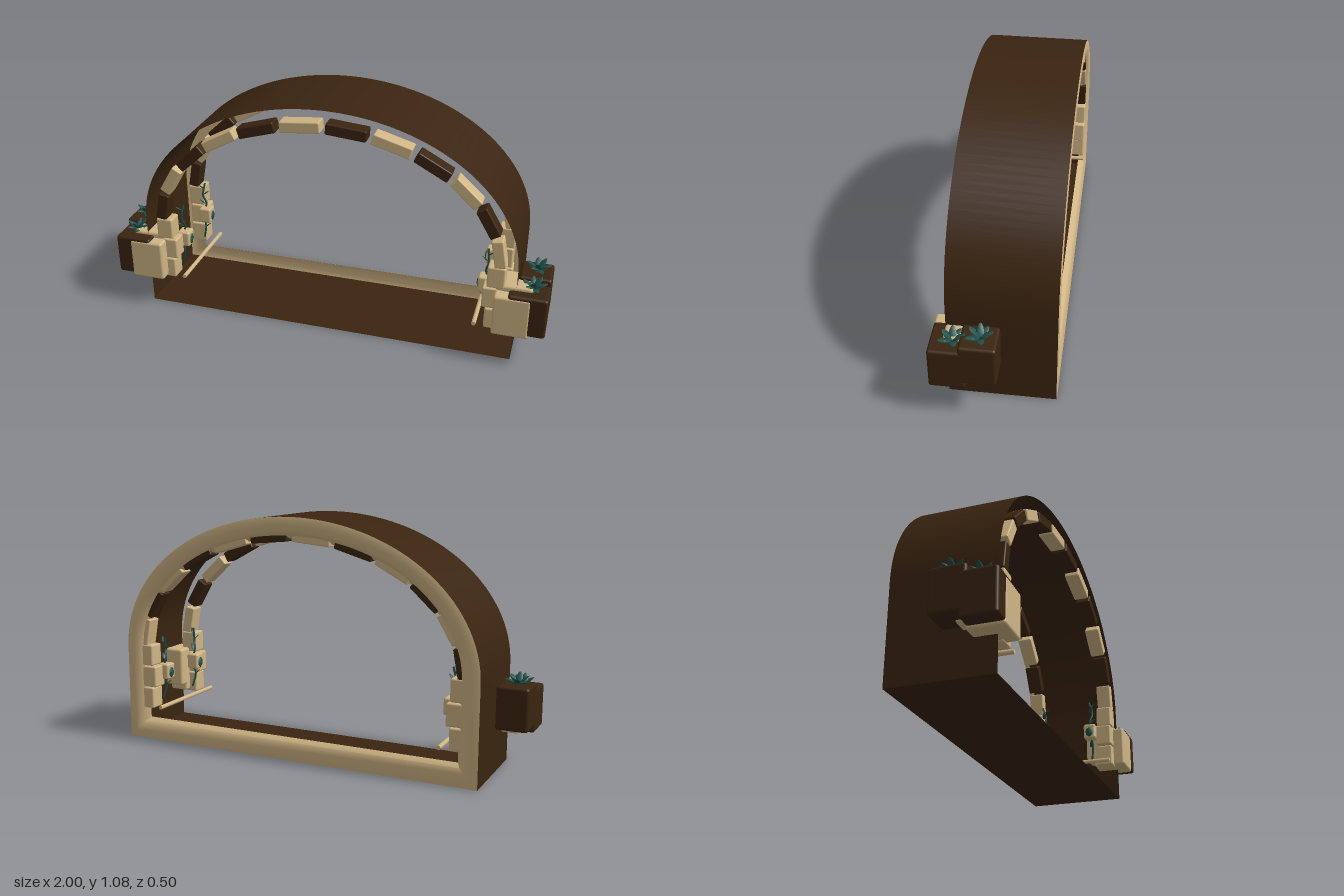
import * as THREE from 'three';
import { toCreasedNormals } from 'three/addons/utils/BufferGeometryUtils.js';
import { RoundedBoxGeometry } from 'three/addons/geometries/RoundedBoxGeometry.js';

const mat = (name, color, side = THREE.FrontSide) => {
  const m = new THREE.MeshStandardMaterial({ color, side });
  m.name = name;
  return m;
};

// Closed doorway outline, moved inward by d
function outline(d) {
  const pts = [[-0.86 + d, d], [0.86 - d, d]];
  for (let i = 0; i <= 64; i++) {
    const t = (i / 64) * Math.PI;
    pts.push([(0.86 - d) * Math.cos(t), 0.44 + (0.635 - d) * Math.sin(t)]);
  }
  pts.push(pts[0]);
  return pts;
}

// Sweep a profile of [inset, z] pairs around the outline
function sweep(profile) {
  const rows = profile.map(([d, z]) => outline(d).map(([x, y]) => [x, y, z]));
  const n = rows[0].length, index = [];
  for (let r = 0; r < rows.length - 1; r++) {
    for (let i = 0; i < n - 1; i++) {
      const a = r * n + i, b = a + n;
      index.push(a, b, a + 1, b, b + 1, a + 1);
    }
  }
  const g = new THREE.BufferGeometry();
  g.setAttribute('position', new THREE.Float32BufferAttribute(rows.flat(2), 3));
  g.setIndex(index);
  return toCreasedNormals(g, 1.0);
}

// Pointed, flattened leaf starting at the origin and growing along +y
function leafGeometry() {
  const g = new THREE.SphereGeometry(0.5, 6, 6);
  g.translate(0, 0.5, 0);
  const p = g.attributes.position;
  for (let i = 0; i < p.count; i++) {
    const y = p.getY(i);
    p.setX(i, p.getX(i) * (1.15 - 0.5 * y));
    p.setZ(i, p.getZ(i) * 0.25 + 0.25 * y * y);
  }
  g.computeVertexNormals();
  return g;
}

export function createModel() {
  const model = new THREE.Group();
  const dark = mat('darkBrown', 0x3a2410);
  const darkOpen = mat('darkBrownShell', 0x3a2410, THREE.DoubleSide);
  const tan = mat('sandStone', 0xd0b585);
  const tanOpen = mat('sandRim', 0xd0b585, THREE.DoubleSide);
  const teal = mat('tealLeaf', 0x1f504a, THREE.DoubleSide);

  const add = (parent, name, geo, material, pos = [0, 0, 0]) => {
    const m = new THREE.Mesh(geo, material);
    m.name = name;
    m.position.set(...pos);
    parent.add(m);
    return m;
  };
  const block = (parent, name, material, pos, size, r = 0.012) =>
    add(parent, name, new RoundedBoxGeometry(...size, 2, r), material, pos);

  // Thin outer wall and the rounded rim closing its back
  add(model, 'archShell', sweep([[0, 0.2], [0, -0.246]]), darkOpen);
  add(model, 'backRim', sweep([[0, -0.246], [0.012, -0.249], [0.035, -0.25],
    [0.06, -0.246], [0.08, -0.235], [0.095, -0.21]]), tanOpen);

  // Front and rear arcs of alternating stones
  for (const z of [0.165, -0.2]) {
    const arc = new THREE.Group();
    arc.name = z > 0 ? 'frontStoneArc' : 'rearStoneArc';
    model.add(arc);
    for (let i = 0; i < 12; i++) {
      const t = THREE.MathUtils.degToRad(7.5 + 15 * i);
      const tx = -0.78 * Math.sin(t), ty = 0.55 * Math.cos(t);
      const stone = block(arc, 'archStone', i % 2 ? dark : tan,
        [0.78 * Math.cos(t), 0.44 + 0.55 * Math.sin(t), z],
        [Math.hypot(tx, ty) * 0.232, 0.05, 0.07], 0.006);
      stone.rotation.z = Math.atan2(ty, tx);
    }
  }

  const leaf = leafGeometry();
  const addLeaf = (parent, pos, yaw, tilt, len, width) => {
    const m = add(parent, 'leaf', leaf, teal, pos);
    m.rotation.set(tilt, yaw, 0, 'YXZ');
    m.scale.set(width, len, width);
  };

  for (const s of [1, -1]) {
    const side = new THREE.Group();
    side.name = s > 0 ? 'leftSide' : 'rightSide';
    model.add(side);

    // Cluster of large blocks on the outer wall
    block(side, 'outerFrontBlock', dark, [s * 0.915, 0.26, 0.177], [0.17, 0.19, 0.15]);
    block(side, 'outerRearBlock', dark, [s * 0.93, 0.29, 0.055], [0.14, 0.19, 0.15]);
    block(side, 'innerFrontBlock', tan, [s * 0.85, 0.248, 0.177], [0.16, 0.192, 0.156]);
    block(side, 'innerRearBlock', tan, [s * 0.85, 0.278, 0.13], [0.16, 0.185, 0.14]);

    // Spiky plants on top of the blocks
    for (const [x, y, z] of [[0.93, 0.355, 0.16], [0.935, 0.385, 0.05]]) {
      const plant = new THREE.Group();
      plant.name = 'plant';
      plant.position.set(s * x, y, z);
      side.add(plant);
      for (let i = 0; i < 9; i++) {
        addLeaf(plant, [0, 0, 0], i * 2.4, 0.55 + 0.08 * i, 0.062, 0.034);
      }
    }

    // Stone columns with climbing vines, front and rear
    for (const z of [0.165, -0.2]) {
      for (let i = 0; i < 3; i++) {
        block(side, 'columnStone', tan, [s * (i === 1 ? 0.76 : 0.77), 0.195 + 0.103 * i, z],
          [i === 1 ? 0.09 : 0.078, 0.1, 0.075], 0.008);
      }
      const vz = z > 0 ? 0.1 : -0.15;
      const curve = new THREE.CatmullRomCurve3([[0.735, 0.18], [0.72, 0.25], [0.735, 0.31],
        [0.715, 0.37], [0.725, 0.42], [0.718, 0.48]].map(([x, y], i) =>
        new THREE.Vector3(s * x, y, vz + 0.01 * Math.sin(i * 2))));
      add(side, 'vineStem', new THREE.TubeGeometry(curve, 20, 0.005, 5), teal);
      block(side, 'lanternStone', tan, [s * 0.715, 0.315, vz], [0.06, 0.075, 0.06], 0.01);
      const bud = add(side, 'vineBud', new THREE.SphereGeometry(0.03, 8, 6), teal,
        [s * 0.693, 0.31, vz]);
      bud.scale.set(0.5, 1, 0.8);
      [0.24, 0.37, 0.42, 0.45].forEach((y, i) =>
        addLeaf(side, [s * 0.722, y, vz], s * (i % 2 ? 0.9 : -1.2), 0.7, 0.04, 0.02));
    }

    // Slim rail running front to back
    const rail = add(side, 'rail', new THREE.CylinderGeometry(0.01, 0.01, 0.44, 10), tan,
      [s * 0.69, 0.155, -0.02]);
    rail.rotation.x = Math.PI / 2;
  }
  return model;
}
